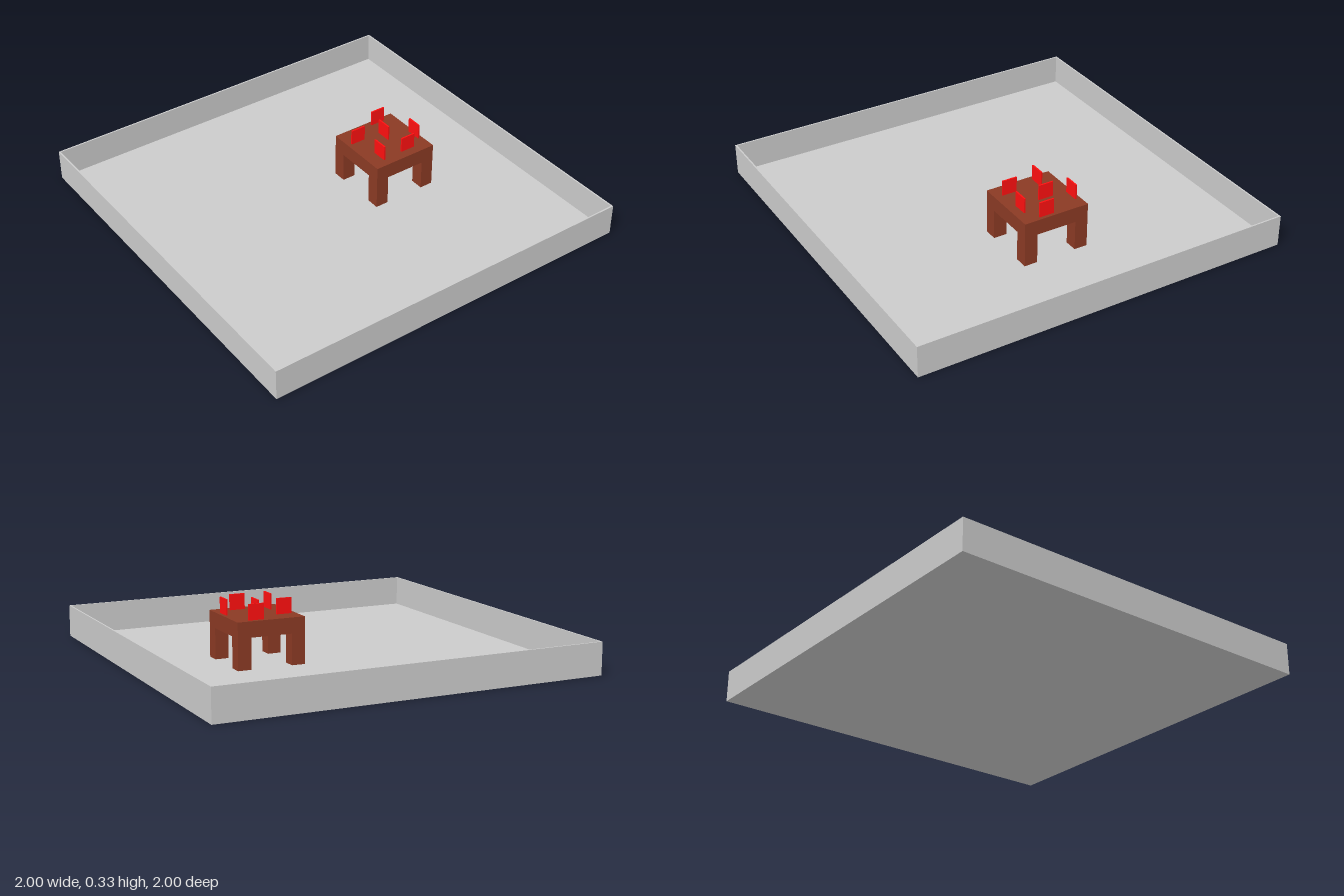
import * as THREE from 'three';

const grey = new THREE.MeshStandardMaterial({ color: 0xcccccc });
const brown = new THREE.MeshStandardMaterial({ color: 0x8b3a24 });
const red = new THREE.MeshStandardMaterial({ color: 0xff1010 });

// Box given by its size and the centre of its underside
function box(name, material, [w, h, d], [x, y, z]) {
  const mesh = new THREE.Mesh(new THREE.BoxGeometry(w, h, d), material);
  mesh.name = name;
  mesh.position.set(x, y + h / 2, z);
  return mesh;
}

export function createModel() {
  const model = new THREE.Group();
  const T = 0.008; // sheet thickness
  const H = 0.165; // tray height

  // Shallow open tray
  const tray = new THREE.Group();
  tray.name = 'tray';
  tray.add(box('trayFloor', grey, [2, T, 2], [0, 0, 0]));
  for (const s of [-1, 1]) {
    tray.add(box('sideWall', grey, [T, H - T, 2], [s * (1 - T / 2), T, 0]));
    tray.add(box('endWall', grey, [2 - 2 * T, H - T, T], [0, T, s * (1 - T / 2)]));
  }
  model.add(tray);

  // Square table standing off-centre on the tray floor
  const table = new THREE.Group();
  table.name = 'table';
  const W = 0.355, LEG = 0.07, TOP = 0.246, SLAB = 0.08;
  const cx = 0.354, cz = -0.011;
  table.add(box('tableTop', brown, [W, SLAB, W], [cx, TOP - SLAB, cz]));
  const off = (W - LEG) / 2;
  for (const sx of [-1, 1]) {
    for (const sz of [-1, 1]) {
      table.add(box('tableLeg', brown, [LEG, TOP - SLAB - T, LEG], [cx + sx * off, T, cz + sz * off]));
    }
  }
  model.add(table);

  // Thin upright cards on the table: x, z, and whether turned to face sideways
  const cards = new THREE.Group();
  cards.name = 'cards';
  const CARD = 0.08;
  const spots = [
    [0.425, -0.163, false], [0.24, -0.083, false], [0.405, 0.115, false],
    [0.377, -0.045, true], [0.51, 0.035, true], [0.253, 0.085, true],
  ];
  for (const [x, z, turned] of spots) {
    const size = turned ? [T, CARD, CARD] : [CARD, CARD, T];
    cards.add(box('card', red, size, [x, TOP, z]));
  }
  model.add(cards);

  return model;
}
